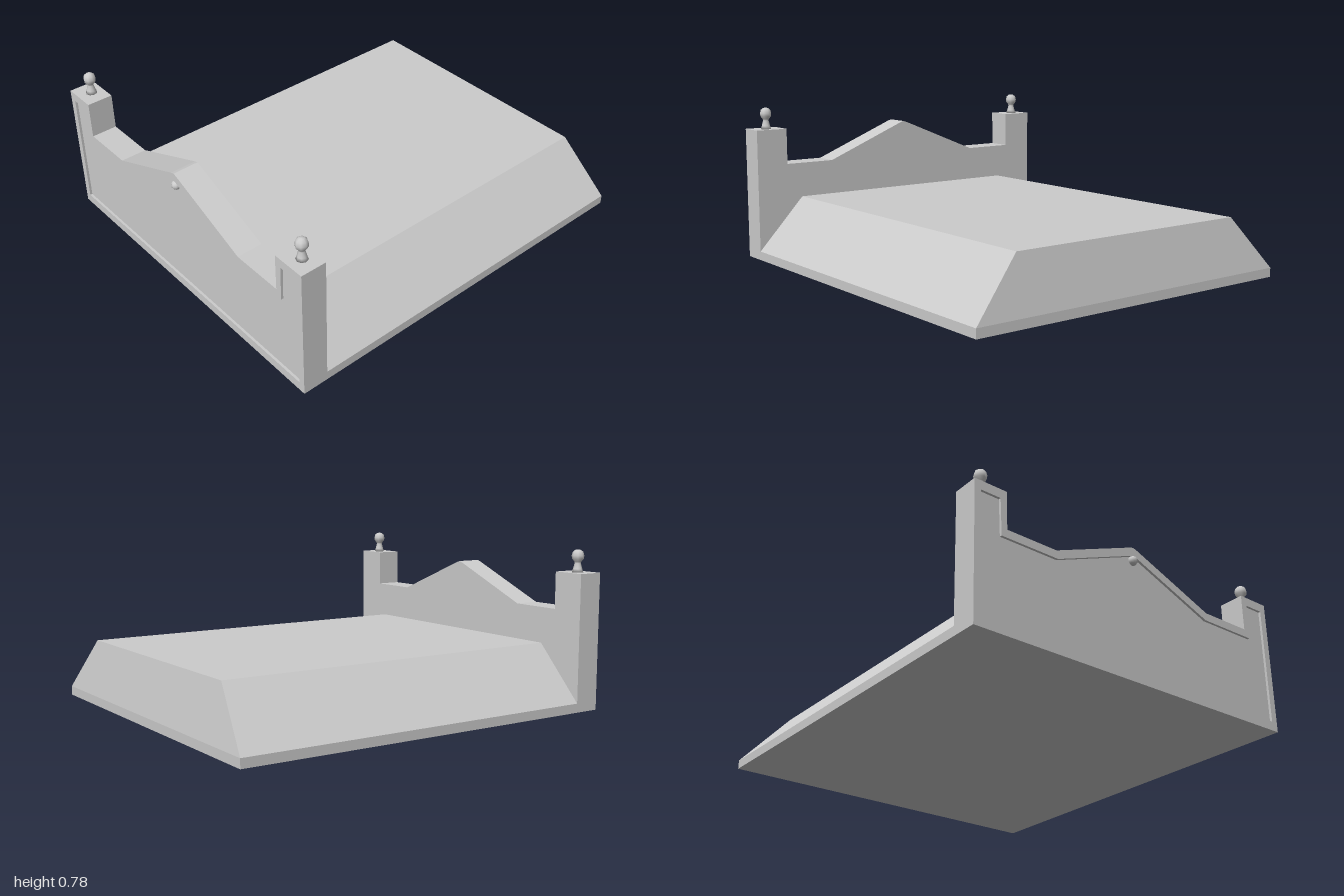
import * as THREE from 'three';

const grey = () => new THREE.MeshStandardMaterial({ color: 0xcccccc });
const flat = () => new THREE.MeshStandardMaterial({ color: 0xcccccc, flatShading: true });

function add(parent, name, geometry, material, x = 0, y = 0, z = 0) {
  const mesh = new THREE.Mesh(geometry, material);
  mesh.name = name;
  mesh.position.set(x, y, z);
  parent.add(mesh);
  return mesh;
}

// Closed outline from its right half (bottom to peak), mirrored to the left
function mirrored(half) {
  const left = half.filter(([x]) => x > 0).map(([x, y]) => [-x, y]).reverse();
  return [...half, ...left].map(([x, y]) => new THREE.Vector2(x, y));
}

const extrude = (shape, depth) =>
  new THREE.ExtrudeGeometry(shape, { depth, bevelEnabled: false });

export function createModel() {
  const model = new THREE.Group();
  model.name = 'graveWithHeadstone';

  // Headstone: solid slab with a raised rim around the recessed panel
  const outer = mirrored([
    [0.885, 0], [0.885, 0.67], [0.718, 0.67], [0.718, 0.487],
    [0.455, 0.487], [0.02, 0.664], [0, 0.67],
  ]);
  const inner = mirrored([
    [0.852, 0.045], [0.852, 0.626], [0.765, 0.626], [0.765, 0.448],
    [0.447, 0.448], [0.02, 0.621], [0, 0.626],
  ].map(([x, y]) => [x === 0.765 ? (y > 0.5 ? 0.752 : 0.747) : x, y]));
  const back = 0.857, panelZ = 0.973, frontZ = 0.985;
  const headstone = new THREE.Group();
  headstone.name = 'headstone';
  model.add(headstone);
  add(headstone, 'headstoneSlab', extrude(new THREE.Shape(outer), panelZ - back), flat(), 0, 0, back);
  const rim = new THREE.Shape(outer);
  rim.holes.push(new THREE.Path(inner));
  add(headstone, 'headstoneRim', extrude(rim, frontZ - panelZ), flat(), 0, 0, panelZ);

  // Small round stud below the peak
  add(headstone, 'peakStud', new THREE.SphereGeometry(0.023, 10, 8), grey(), 0, 0.605, 0.977);

  // Turned finials on the two posts
  const profile = [
    [0, 0], [0.028, 0], [0.022, 0.018], [0.015, 0.045], [0.017, 0.053],
    [0.028, 0.066], [0.03, 0.082], [0.025, 0.1], [0.013, 0.109], [0, 0.111],
  ].map(([r, y]) => new THREE.Vector2(r, y));
  for (const [side, name] of [[1, 'leftFinial'], [-1, 'rightFinial']])
    add(headstone, name, new THREE.LatheGeometry(profile, 8), grey(), side * 0.805, 0.669, 0.915);

  // Low plinth
  const plinth = new THREE.BoxGeometry(1.77, 0.045, 1.857);
  add(model, 'plinth', plinth, flat(), 0, 0.0225, -0.0715);

  // Mound: a box whose top is drawn in on every side
  const mound = new THREE.BoxGeometry(1.77, 0.267, 1.857);
  mound.translate(0, 0.1785, -0.0715);
  const p = mound.attributes.position;
  for (let i = 0; i < p.count; i++) {
    if (p.getY(i) < 0.2) continue;
    p.setX(i, Math.sign(p.getX(i)) * 0.645);
    p.setZ(i, p.getZ(i) > 0 ? 0.842 : -0.95);
  }
  mound.computeVertexNormals();
  add(model, 'mound', mound, flat());

  return model;
}
